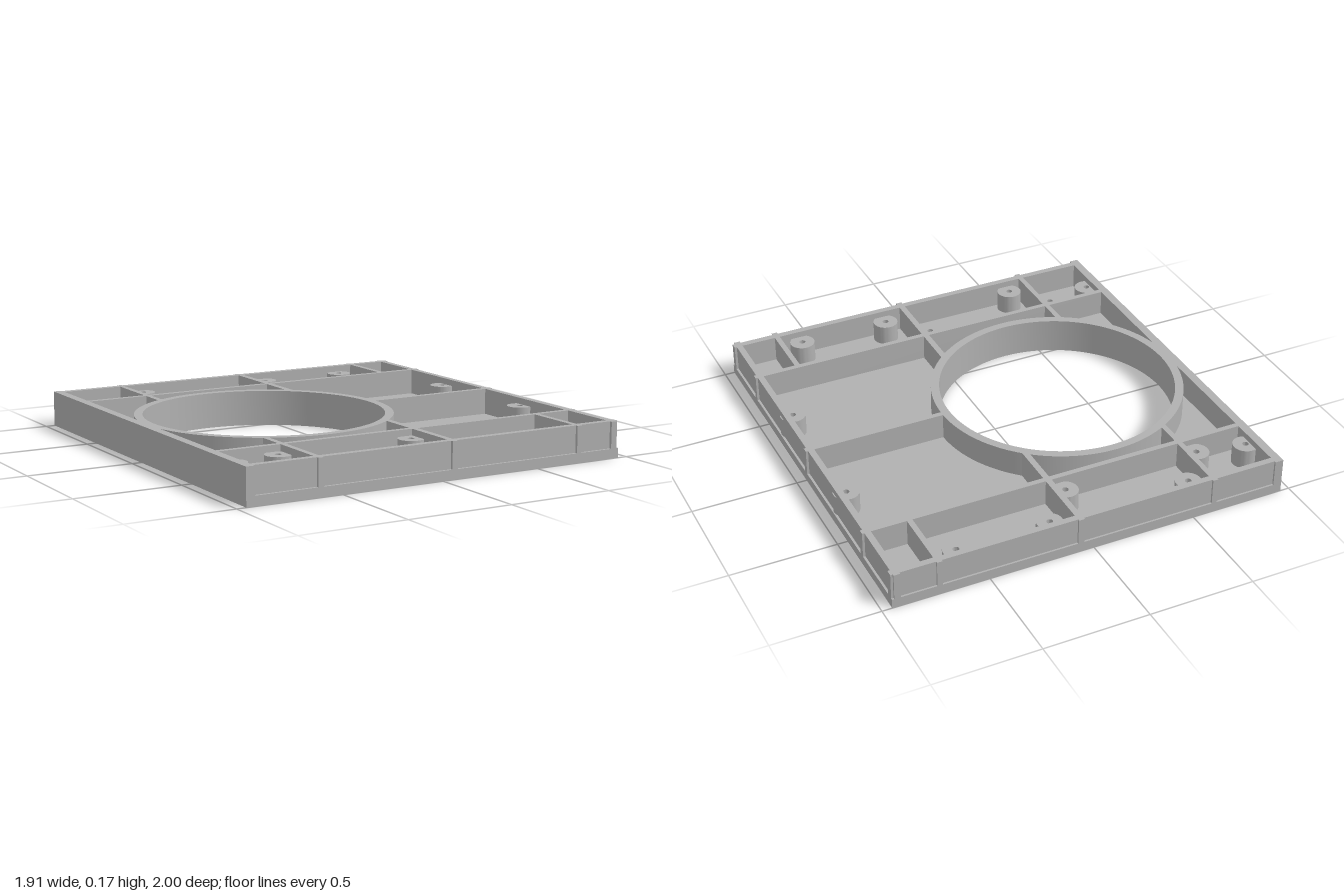
import * as THREE from 'three';
import { toCreasedNormals } from 'three/addons/utils/BufferGeometryUtils.js';

const FLOOR = 0.045, TOP = 0.17, BOSS_TOP = 0.14;
const X0 = -0.956, X1 = 0.953;
const OPENING = { x: -0.326, z: -0.002 };

export function createModel() {
  const group = new THREE.Group();
  const grey = new THREE.MeshStandardMaterial({ color: 0xb0b0b0 });

  const add = (name, geometry) => {
    const mesh = new THREE.Mesh(geometry, grey);
    mesh.name = name;
    group.add(mesh);
    return mesh;
  };

  // Upright wall spanning x and z ranges, rooted in the floor
  const wall = (name, xa, xb, za, zb) =>
    add(name, new THREE.BoxGeometry(xb - xa, TOP - 0.02, zb - za))
      .position.set((xa + xb) / 2, (TOP + 0.02) / 2, (za + zb) / 2);

  const circle = (x, z, r) => new THREE.Path().absarc(x, -z, r, 0, Math.PI * 2, true);

  const extrudeUp = (shape, height, segments) => {
    const g = new THREE.ExtrudeGeometry(shape, { depth: height, bevelEnabled: false, curveSegments: segments });
    g.rotateX(-Math.PI / 2);
    return toCreasedNormals(g, 0.5);
  };

  // Hollow round column standing on y = 0
  const tube = (name, x, z, outer, inner, height, segments) => {
    const shape = new THREE.Shape().absarc(x, -z, outer, 0, Math.PI * 2, false);
    shape.holes.push(circle(x, z, inner));
    add(name, extrudeUp(shape, height, segments));
  };

  // Screw boss centres, mirrored front to back
  const bosses = [];
  for (const [x, z] of [[-0.894, 0.779], [-0.66, 0.735], [-0.515, 0.912], [0.008, 0.735],
    [0.175, 0.912], [0.62, 0.912], [0.888, 0.333]]) {
    for (const s of [1, -1]) bosses.push([x, s * z - 0.003]);
  }

  // Floor plate with the large opening and screw holes
  const plate = new THREE.Shape([
    new THREE.Vector2(X0, -1), new THREE.Vector2(X1, -1),
    new THREE.Vector2(X1, 1), new THREE.Vector2(X0, 1)]);
  plate.holes.push(circle(OPENING.x, OPENING.z, 0.58));
  for (const [x, z] of bosses) plate.holes.push(circle(x, z, 0.035));
  add('floorPlate', extrudeUp(plate, FLOOR, 48));

  // Collar around the opening, and screw bosses
  tube('openingCollar', OPENING.x, OPENING.z, 0.6, 0.56, TOP, 96);
  for (const [x, z] of bosses) tube('screwBoss', x, z, 0.06, 0.015, BOSS_TOP, 24);

  // Solid side wall on one side, set-back wall on the other
  wall('solidSideWall', X0, -0.915, -1, 1);
  wall('setBackSideWall', 0.912, 0.942, -1, 1);

  // Set-back end walls, long ribs and cross ribs, front and back
  for (const s of [1, -1]) {
    const span = (name, xa, xb, a, b, shift = -0.002) => {
      const z = [s * a + shift, s * b + shift].sort((p, q) => p - q);
      wall(name, xa, xb, z[0], z[1]);
    };
    span('endWall', X0 + 0.01, X1, 0.958, 0.989);
    span('longRib', X0 + 0.01, X1, 0.655, 0.681);
    span('crossRib', -0.618, -0.592, 0.505, 1, 0);
    span('crossRib', 0.048, 0.077, 0.43, 1, 0);
    span('crossRib', 0.719, 0.745, 0.66, 1, 0);
  }

  // Middle rib from the collar to the edge
  wall('middleRib', 0.255, X1, -0.015, 0.011);

  return group;
}
